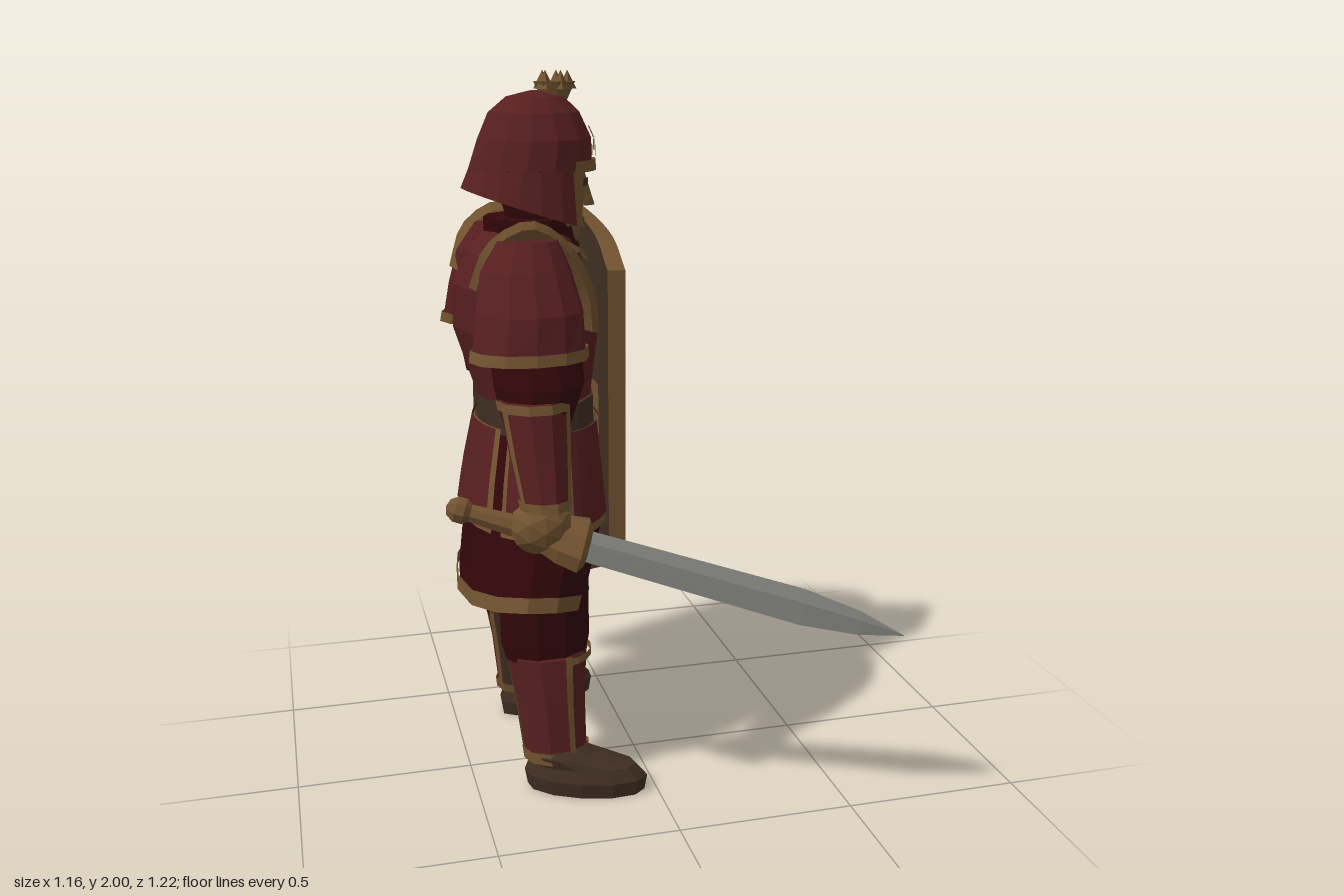
import * as THREE from 'three';

const mat = (name, color) => Object.assign(
  new THREE.MeshStandardMaterial({ color, flatShading: true, side: THREE.DoubleSide }), { name });
const red = mat('lacquer red', 0x571f20);
const darkRed = mat('dark red cloth', 0x33070a);
const gold = mat('old gold', 0x725330);
const brown = mat('brown leather', 0x402e22);
const steel = mat('steel', 0x7b7b77);

const V = (x, y, z) => new THREE.Vector3(x, y, z);
const CZ = -0.085; // mid plane of the body; the figure looks along +x
const rad = THREE.MathUtils.degToRad;

export function createModel() {
  const root = new THREE.Group();
  root.name = 'armouredKnight';
  const add = (name, geo, m, parent = root) => {
    const mesh = new THREE.Mesh(geo, m);
    mesh.name = name;
    parent.add(mesh);
    return mesh;
  };

  // Surface patch from a rule f(u, v) with u, v in 0..1
  const grid = (f, nu, nv) => {
    const pos = [], idx = [];
    for (let j = 0; j <= nv; j++) for (let i = 0; i <= nu; i++) pos.push(...f(i / nu, j / nv).toArray());
    for (let j = 0; j < nv; j++) for (let i = 0; i < nu; i++) {
      const a = j * (nu + 1) + i, b = a + nu + 1;
      idx.push(a, b, a + 1, a + 1, b, b + 1);
    }
    const g = new THREE.BufferGeometry();
    g.setAttribute('position', new THREE.Float32BufferAttribute(pos, 3));
    g.setIndex(idx);
    const flat = g.toNonIndexed();
    flat.computeVertexNormals();
    return flat;
  };

  // Rings are [y, cx, cz, rx, rz], listed upward; angle 0 points to +x, 90 to +z
  const ringPoint = (r, a, off = 0) =>
    V(r[1] + (r[3] + off) * Math.cos(a), r[0], r[2] + (r[4] + off) * Math.sin(a));
  const loft = (rings, n = 12) => {
    const first = rings[0], last = rings[rings.length - 1];
    const all = [[...first.slice(0, 3), 0, 0], ...rings, [...last.slice(0, 3), 0, 0]];
    return grid((u, v) => ringPoint(all[Math.round(v * (all.length - 1))], u * Math.PI * 2), n, all.length - 1);
  };
  const ringAt = (rings, y) => {
    let i = 0;
    while (i < rings.length - 2 && y > rings[i + 1][0]) i++;
    const p = rings[i], q = rings[i + 1], t = (y - p[0]) / (q[0] - p[0]);
    return p.map((c, k) => c + (q[k] - c) * t);
  };
  const patch = (rings, a0, a1, y0, y1, off, nu = 6, nv = 4) => grid((u, v) =>
    ringPoint(ringAt(rings, y0 + (y1 - y0) * v), rad(a0 + (a1 - a0) * u), off), nu, nv);
  const band = (rings, y0, y1, off, n = 12) => patch(rings, 0, 360, y0, y1, off, n, 1);
  const mirror = (rings, s) => rings.map(([y, x, z, rx, rz]) => [y, x, CZ + s * (z - CZ), rx, rz]);

  // Torso, collar and belt
  const torso = [[1.06, -0.27, CZ, 0.15, 0.225], [1.16, -0.277, CZ, 0.172, 0.22], [1.31, -0.29, CZ, 0.207, 0.24],
    [1.43, -0.3, CZ, 0.195, 0.25], [1.52, -0.3, CZ, 0.155, 0.21], [1.58, -0.285, CZ, 0.11, 0.13]];
  add('cuirass', loft(torso), red);
  add('collar', loft([[1.5, -0.265, CZ, 0.135, 0.12], [1.61, -0.28, CZ, 0.125, 0.135]], 10), darkRed);
  for (const s of [-1, 1]) add('collarTrim', grid((u, v) =>
    ringPoint(ringAt(torso, 1.48 + 0.06 * u + 0.02 * v), rad(s * 55 * u), 0.014), 6, 1), gold);
  const belt = [[1.03, -0.27, CZ, 0.165, 0.25], [1.12, -0.27, CZ, 0.165, 0.24]];
  add('belt', loft(belt), brown);
  add('buckle', patch(belt, -20, 20, 0.99, 1.13, 0.012), gold);

  // Skirt with hem, split and hanging plates; the lower edge dips at the front
  const dip = geo => {
    const p = geo.attributes.position;
    for (let i = 0; i < p.count; i++) if (p.getY(i) < 0.65)
      p.setY(i, p.getY(i) - 0.04 + 0.06 * ((p.getZ(i) - CZ) / 0.35) ** 2 - 0.08 * (p.getX(i) + 0.15));
    return geo;
  };
  const skirt = [[0.55, -0.325, CZ, 0.176, 0.35], [0.76, -0.285, CZ, 0.197, 0.32],
    [0.9, -0.28, CZ, 0.18, 0.285], [1.06, -0.27, CZ, 0.155, 0.235]];
  add('skirt', dip(loft(skirt, 14)), darkRed);
  add('skirtHem', dip(band(skirt, 0.54, 0.585, 0.008, 14)), gold);
  add('skirtSplitTrim', patch(skirt, -4, 3, 0.55, 0.92, 0.012, 1, 4), gold);
  const plates = [[-24, 24, 0.93], [28, 78, 0.77], [84, 130, 0.77], [-78, -28, 0.77], [-130, -84, 0.77], [138, 222, 0.77]];
  for (const [a0, a1, y0] of plates) {
    add('hangingPlateTrim', patch(skirt, a0, a1, y0, 1.05, 0.014), gold);
    add('hangingPlate', patch(skirt, a0 + 4, a1 - 4, y0 + 0.025, 1.05, 0.02), red);
  }

  // Head: coif, golden face mask and features
  const head = [[1.5, -0.215, CZ, 0.05, 0.045], [1.56, -0.235, CZ, 0.09, 0.08], [1.66, -0.245, CZ, 0.112, 0.112],
    [1.8, -0.25, CZ, 0.125, 0.132]];
  add('coif', loft(head, 10), darkRed);
  add('faceMask', patch(head, -80, 80, 1.51, 1.79, 0.01, 8, 6), gold);
  add('nose', loft([[1.635, -0.125, CZ, 0.035, 0.022], [1.66, -0.13, CZ, 0.032, 0.018], [1.73, -0.135, CZ, 0.016, 0.012]], 4), gold);
  for (const s of [-1, 1]) add('eyeSlit', patch(head, s * 15, s * 38, 1.695, 1.715, 0.018, 3, 1), brown);
  add('mouth', patch(head, -16, 16, 1.592, 1.602, 0.018, 3, 1), brown);

  // Helmet dome, flared neck guard, trim and crown
  const dome = [[1.74, -0.27, CZ, 0.172, 0.16], [1.82, -0.257, CZ, 0.158, 0.15], [1.89, -0.258, CZ, 0.126, 0.118],
    [1.93, -0.255, CZ, 0.08, 0.075], [1.946, -0.25, CZ, 0.02, 0.02]];
  add('helmetDome', loft(dome, 14), red);
  const guard = (a, v, off = 0) => {
    const r = [1.74 - v * (0.112 + 0.062 * Math.cos(rad(a))), -0.27 - 0.004 * v, CZ, 0.172 + 0.018 * v, 0.16 + 0.02 * v];
    return ringPoint(r, rad(a), off);
  };
  add('neckGuard', grid((u, v) => guard(54 + 252 * u, v), 14, 3), red);
  for (const a of [53, 300]) add('cheekTrim', grid((u, v) => guard(a + 7 * u, v, 0.006), 1, 3), gold);
  add('browBand', patch(dome, -58, 58, 1.735, 1.765, 0.008, 8, 1), gold);
  for (const [a, y] of [[0, 1.8], [-9, 1.785], [9, 1.785], [0, 1.835]])
    add('browOrnament', patch(dome, a - 3, a + 3, y - 0.016, y + 0.016, 0.008, 1, 1), gold);
  add('crownBase', loft([[1.91, -0.2, CZ, 0.03, 0.028], [1.97, -0.2, CZ, 0.058, 0.05]], 8), gold);
  for (let i = 0; i < 5; i++) {
    const a = i * Math.PI / 2.5;
    add('crownPoint', new THREE.ConeGeometry(0.026, 0.05, 4), gold)
      .position.set(-0.2 + 0.036 * Math.cos(a), 1.975, CZ + 0.032 * Math.sin(a));
  }

  // Both sides: shoulder armour, sleeve, leg, foot; the shield arm (s < 0) is held closer to the body
  for (const s of [-1, 1]) {
    const reach = s > 0 ? 1 : -0.72;
    const shoulder = mirror([[1.28, -0.345, 0.255, 0.15, 0.1], [1.4, -0.335, 0.215, 0.142, 0.12],
      [1.5, -0.335, 0.17, 0.12, 0.11], [1.575, -0.325, 0.15, 0.08, 0.07]], reach);
    add('shoulderPlate', loft(shoulder), red);
    add('shoulderHem', band(shoulder, 1.28, 1.31, 0.008), gold);
    const arc = new THREE.CatmullRomCurve3([[-0.44, 1.43, 0.09], [-0.41, 1.53, 0.12], [-0.32, 1.585, 0.145],
      [-0.235, 1.53, 0.125], [-0.18, 1.42, 0.1], [-0.165, 1.32, 0.085]].map(([x, y, z]) => V(x, y, CZ + s * (z - CZ))));
    add('shoulderRidge', grid((u, v) => {
      const p = arc.getPoint(u), a = v * 2 * Math.PI;
      const out = V(p.x + 0.31, p.y - 1.36, 0).normalize().multiplyScalar(0.042 * Math.cos(a));
      return p.add(out).add(V(0, 0, 0.022 * Math.sin(a) + s * 0.018 * Math.cos(a)));
    }, 14, 6), gold);
    add('sleeve', loft(mirror([[1.12, -0.335, 0.3, 0.09, 0.085], [1.22, -0.325, 0.28, 0.12, 0.1],
      [1.35, -0.33, 0.23, 0.12, 0.1]], reach), 10), darkRed);

    add('trouserLeg', loft(mirror([[0.36, -0.285, 0.11, 0.11, 0.09], [0.43, -0.287, 0.1, 0.128, 0.108],
      [0.64, -0.29, 0.1, 0.13, 0.125]], s), 10), darkRed);
    const greave = mirror([[0.09, -0.27, 0.155, 0.088, 0.072], [0.28, -0.28, 0.128, 0.1, 0.09],
      [0.4, -0.285, 0.108, 0.118, 0.102], [0.43, -0.28, 0.102, 0.11, 0.085]], s);
    add('greave', loft(greave, 10), red);
    add('greaveAnkleTrim', band(greave, 0.09, 0.125, 0.007, 10), gold);
    add('calfLeather', patch(greave, -s * 70, -s * 150, 0.12, 0.4, 0.008), brown);
    for (const a of [70, -70, -150]) add('greaveSideTrim', patch(greave, s * a - 5, s * a + 5, 0.1, 0.41, 0.011, 1, 6), gold);
    add('kneeTrim', patch(greave, -75, 75, 0.385, 0.405, 0.011, 8, 1), gold);

    const foot = add('shoe', loft([[0, 0, 0, 0.17, 0.075], [0.045, 0, 0, 0.178, 0.082], [0.08, -0.01, 0, 0.155, 0.07],
      [0.11, -0.07, 0, 0.095, 0.07], [0.125, -0.08, 0, 0.075, 0.06]], 12), brown);
    foot.position.set(-0.195, 0, s > 0 ? 0.2 : -0.38);
    foot.rotation.y = s > 0 ? -0.36 : 0.45;
  }

  // Sword arm: bracer and gauntlet
  const bracer = [[0.92, -0.335, 0.39, 0.06, 0.058], [1.05, -0.34, 0.345, 0.078, 0.074], [1.19, -0.345, 0.3, 0.092, 0.09]];
  add('bracer', loft(bracer, 10), red);
  add('bracerTrim', band(bracer, 0.92, 0.945, 0.007, 10), gold);
  add('bracerTrim', band(bracer, 1.165, 1.19, 0.007, 10), gold);
  for (const a of [40, 150]) add('bracerSeam', patch(bracer, a - 6, a + 6, 0.93, 1.18, 0.009, 1, 4), gold);
  const fist = add('gauntlet', new THREE.IcosahedronGeometry(0.085, 1), gold);
  fist.scale.set(1, 0.9, 0.8);
  fist.position.set(-0.345, 0.865, 0.375);

  // Sword, built along local y
  const sword = new THREE.Group();
  sword.name = 'sword';
  const d = V(0.84, -0.264, 0.21).normalize();
  const w = V(0, 0.75, -0.65).addScaledVector(d, -V(0, 0.75, -0.65).dot(d)).normalize();
  sword.applyMatrix4(new THREE.Matrix4().makeBasis(w, d, w.clone().cross(d)).setPosition(-0.26, 0.82, 0.4));
  root.add(sword);
  add('blade', loft([[0, 0, 0, 0.044, 0.024], [0.62, 0, 0, 0.052, 0.026], [0.78, 0, 0, 0.034, 0.018], [0.905, 0, 0, 0.001, 0.001]], 4), steel, sword);
  add('swordGuard', loft([[-0.13, 0, 0, 0.035, 0.03], [-0.04, 0, 0, 0.07, 0.045], [0.02, 0, 0, 0.08, 0.05], [0.035, 0, 0, 0.055, 0.035]], 8), gold, sword);
  add('grip', loft([[-0.3, 0, 0, 0.024, 0.024], [-0.1, 0, 0, 0.034, 0.034]], 8), gold, sword);
  add('pommel', new THREE.SphereGeometry(0.038, 8, 5), gold, sword).position.y = -0.31;

  // Shield arm, reaching forward to the shield
  const from = V(-0.33, 1.17, -0.36), to = V(-0.08, 1.08, -0.29);
  const fore = add('shieldForearm', new THREE.CylinderGeometry(0.06, 0.085, from.distanceTo(to), 10), red);
  fore.position.copy(from).lerp(to, 0.5);
  fore.quaternion.setFromUnitVectors(V(0, 1, 0), to.clone().sub(from).normalize());

  // Curved six-sided shield
  const shield = new THREE.Group();
  shield.name = 'shield';
  root.add(shield);
  const curve = new THREE.CatmullRomCurve3([V(-0.37, 0, -0.585), V(-0.18, 0, -0.5), V(-0.08, 0, -0.39),
    V(-0.03, 0, -0.27), V(-0.028, 0, -0.1)]);
  const L = curve.getLength(), UC = 0.54;
  const wall = (u, off) => {
    const t = curve.getTangentAt(u);
    return curve.getPointAt(u).add(V(t.z, 0, -t.x).multiplyScalar(off));
  };
  const S = (u, v, off) => {
    const k = u < UC ? (UC - u) / UC : (u - UC) / (1 - UC);
    const p = wall(u, off);
    p.y = THREE.MathUtils.lerp(0.425 + 0.135 * k, 1.6 - 0.155 * k, v);
    return p;
  };
  const breaks = u => (u < 0.5 ? u * 2 * UC : UC + (u - 0.5) * 2 * (1 - UC));
  const part = (v0, v1, off) => grid((u, v) => S(breaks(u), v0 + (v1 - v0) * v, off), 24, 1);
  add('shieldFace', part(0, 1, 0.02), red, shield);
  add('shieldBack', part(0, 1, -0.022), brown, shield);
  for (const e of [0, 1]) {
    add('shieldRim', grid((u, v) => S(breaks(u), e, -0.022 + 0.052 * v), 24, 1), gold, shield);
    add('shieldRim', grid((u, v) => S(e, u, -0.022 + 0.052 * v), 1, 1), gold, shield);
    add('shieldBorder', part(e * 0.957, 0.043 + e * 0.957, 0.03), gold, shield);
    add('shieldBorder', grid((u, v) => S(e * 0.93 + 0.07 * u, v, 0.03), 3, 1), gold, shield);
  }
  add('shieldSpine', grid((u, v) => S(UC - 0.035 + 0.07 * u, v, 0.028), 2, 1), gold, shield);

  // Painted boss, cross bar and scrollwork, placed by distance p from the spine and height y
  const M = (p, y, off = 0.027) => {
    const q = wall(THREE.MathUtils.clamp(UC + p / L, 0, 1), off);
    q.y = y;
    return q;
  };
  add('shieldBoss', grid((u, v) => M(0.02 + 0.12 * v * Math.cos(u * 2 * Math.PI), 1.09 + 0.115 * v * Math.sin(u * 2 * Math.PI), 0.029), 20, 4), gold, shield);
  add('shieldBar', grid((u, v) => M((-UC + u) * L, 1.065 + 0.05 * v), 20, 1), gold, shield);
  const scrolls = [
    [1, [[0.03, 0.4], [0.09, 0.33], [0.06, 0.26], [0.07, 0.2], [0.13, 0.18], [0.15, 0.23], [0.11, 0.26]]],
    [1, [[0.28, 0.06], [0.22, 0.1], [0.19, 0.16], [0.23, 0.21], [0.24, 0.29], [0.19, 0.33], [0.15, 0.3]]],
    [-1, [[0.03, 0.55], [0.1, 0.47], [0.15, 0.38], [0.12, 0.3], [0.06, 0.31], [0.07, 0.38]]],
    [-1, [[0.28, 0.09], [0.19, 0.1], [0.13, 0.17], [0.17, 0.25], [0.24, 0.23], [0.21, 0.17]]],
    [-1, [[0.28, 0.46], [0.21, 0.42], [0.2, 0.33], [0.25, 0.31]]],
    [-1, [[0.03, 0.24], [0.07, 0.21], [0.07, 0.16]]]];
  for (const s of [-1, 1]) for (const [dir, pts] of scrolls) {
    const line = new THREE.SplineCurve(pts.map(([p, q]) => new THREE.Vector2(s * p * (s < 0 ? 1.15 : 0.95), 1.09 + dir * q)));
    add('shieldScroll', grid((u, v) => {
      const c = line.getPoint(u), t = line.getTangent(u), h = (v - 0.5) * 0.036;
      return M(c.x - t.y * h, c.y + t.x * h);
    }, 20, 1), gold, shield);
  }
  return root;
}
